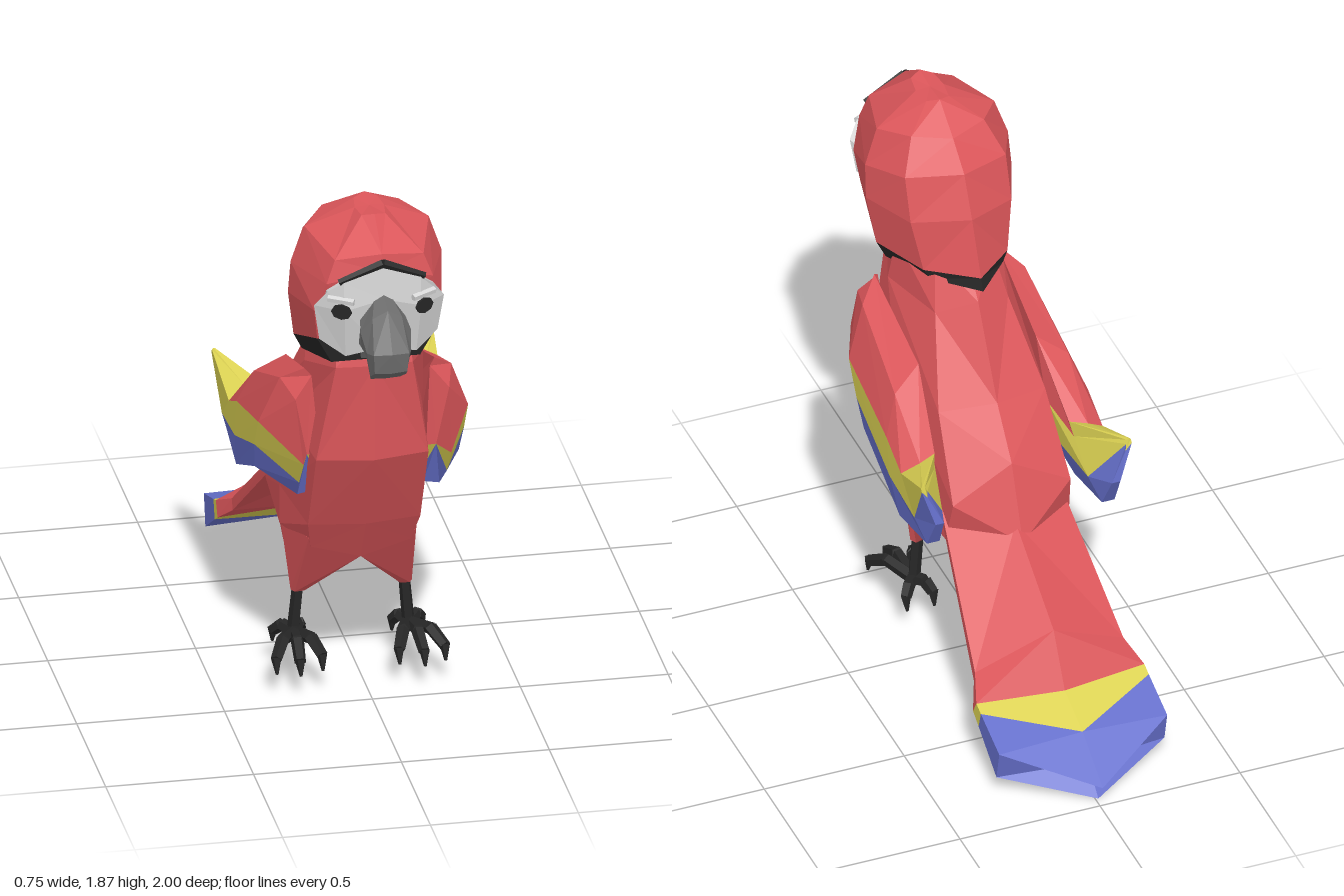
import * as THREE from 'three';

const mat = (name, color, extra = {}) => {
  const m = new THREE.MeshStandardMaterial({ color, flatShading: true, ...extra });
  m.name = name;
  return m;
};

// Closed skin through rings of equal point count; pick(row, segment) chooses the material index.
function loft(name, rings, mats, pick = () => 0) {
  const buckets = mats.map(() => []);
  const n = rings[0].length, last = rings.length - 1;
  const tri = (k, ...pts) => buckets[k].push(pts);
  const mid = r => [0, 1, 2].map(a => r.reduce((s, p) => s + p[a], 0) / n);
  for (let i = 0; i < last; i++) {
    for (let j = 0; j < n; j++) {
      const q = (j + 1) % n, k = pick(i, j);
      const a = rings[i][j], b = rings[i][q], c = rings[i + 1][q], d = rings[i + 1][j];
      // mirrored diagonals keep the two halves symmetric
      if (j < n / 2) { tri(k, a, b, c); tri(k, a, c, d); }
      else { tri(k, a, b, d); tri(k, b, c, d); }
    }
  }
  const c0 = mid(rings[0]), c1 = mid(rings[last]);
  for (let j = 0; j < n; j++) {
    const q = (j + 1) % n;
    tri(pick(0, j), rings[0][q], rings[0][j], c0);
    tri(pick(last - 1, j), rings[last][j], rings[last][q], c1);
  }
  // turn every face outward using the enclosed volume
  let volume = 0;
  const v = p => new THREE.Vector3(...p).sub(new THREE.Vector3(...c0));
  buckets.flat().forEach(([a, b, c]) => { volume += v(a).dot(v(b).cross(v(c))); });
  const geo = new THREE.BufferGeometry(), pos = [];
  buckets.forEach((tris, k) => {
    geo.addGroup(pos.length / 3, tris.length * 3, k);
    tris.forEach(([a, b, c]) => pos.push(...a, ...(volume < 0 ? [...c, ...b] : [...b, ...c])));
  });
  geo.setAttribute('position', new THREE.Float32BufferAttribute(pos, 3));
  geo.computeVertexNormals();
  const mesh = new THREE.Mesh(geo, mats);
  mesh.name = name;
  return mesh;
}

// Full ring from its +x half; first and last points lie on the middle plane.
const mirrorRing = half => [...half, ...half.slice(1, -1).reverse().map(([x, y, z]) => [-x, y, z])];
const flip = (ring, s) => ring.map(([x, y, z]) => [s * x, y, z]);

// Tapered rod between two points
function rod(name, a, b, r0, r1, material) {
  const p = new THREE.Vector3(...a), d = new THREE.Vector3(...b).sub(p);
  const mesh = new THREE.Mesh(new THREE.CylinderGeometry(r1, r0, d.length(), 5), material);
  mesh.position.copy(p).addScaledVector(d, 0.5);
  mesh.quaternion.setFromUnitVectors(new THREE.Vector3(0, 1, 0), d.normalize());
  mesh.name = name;
  return mesh;
}

export function createModel() {
  const red = mat('red feathers', 0xdc565a);
  const yellow = mat('yellow feathers', 0xdcd253);
  const blue = mat('blue feathers', 0x6670cc);
  const white = mat('white face', 0xd6d6d6);
  const grey = mat('grey beak', 0x707070);
  const black = mat('black', 0x262626);

  const model = new THREE.Group();
  model.name = 'parrot';
  const part = (name, x) => {
    const g = new THREE.Group();
    g.name = name;
    g.position.x = x;
    model.add(g);
    return g;
  };

  // Body: front, front corner, side, back corner, back
  const body = part('body', -0.02);
  body.add(loft('torso', [
    [[0, 1.42, 0.62], [0.12, 1.42, 0.60], [0.18, 1.42, 0.42], [0.1, 1.42, 0.28], [0, 1.42, 0.24]],
    [[0, 1.30, 0.645], [0.13, 1.30, 0.635], [0.20, 1.25, 0.45], [0.13, 1.25, 0.20], [0, 1.30, 0.14]],
    [[0, 0.95, 0.635], [0.19, 0.95, 0.60], [0.23, 0.98, 0.30], [0.19, 0.98, 0.02], [0, 1.0, -0.03]],
    [[0, 0.65, 0.49], [0.19, 0.65, 0.46], [0.235, 0.68, 0.20], [0.21, 0.72, -0.16], [0, 0.84, -0.16]],
    [[0, 0.49, 0.40], [0.17, 0.54, 0.40], [0.235, 0.54, 0.20], [0.22, 0.56, -0.12], [0, 0.58, -0.26]],
  ].map(mirrorRing), [red]));

  // Thighs, legs and clawed feet
  for (const s of [1, -1]) {
    const side = s > 0 ? 'left' : 'right';
    const ankle = [0, 1, 2, 3, 4].map(i => {
      const a = [-2.5, 0.6, 1.57, 2.6, 4.2][i];
      return [0.18 + 0.025 * Math.sin(i === 0 ? -0.8 : a), 0.31, 0.235 + 0.025 * Math.cos(i === 0 ? -0.8 : a)];
    });
    const hip = [[0, 0.49, 0.40], [0.18, 0.58, 0.42], [0.235, 0.58, 0.20], [0.21, 0.55, -0.04], [0, 0.52, 0.04]];
    body.add(loft(side + 'Thigh', [hip, ankle].map(r => flip(r, s)), [red]));
    const P = (x, y, z) => [s * x, y, z];
    const foot = new THREE.Group();
    foot.name = side + 'Foot';
    foot.add(rod('leg', P(0.178, 0.34, 0.235), P(0.195, 0.155, 0.23), 0.02, 0.022, black));
    for (const [x, z, dir] of [[0.13, 0.40, 1], [0.21, 0.43, 1], [0.285, 0.40, 1], [0.155, 0.16, -1], [0.25, 0.165, -1]]) {
      const knuckle = P(0.195 + (x - 0.195) * 0.6, dir > 0 ? 0.175 : 0.165, 0.23 + (z - 0.23) * 0.6);
      foot.add(rod('toe', P(0.195, 0.155, 0.23), knuckle, 0.024, 0.022, black));
      foot.add(rod('toeEnd', knuckle, P(x, 0.135, z), 0.023, 0.02, black));
      foot.add(rod('claw', P(x, 0.142, z), P(x, 0.088, z + dir * 0.015), 0.019, 0.005, black));
    }
    body.add(foot);
  }

  // Tail: ridge, upper edge, lower edge, underside
  const tail = part('tail', -0.01);
  tail.add(loft('tailFan', [
    [[0, 0.64, -0.22], [0.21, 0.66, -0.08], [0.21, 0.61, -0.09], [0, 0.55, -0.14]],
    [[0, 0.43, -0.56], [0.265, 0.30, -0.52], [0.265, 0.26, -0.51], [0, 0.36, -0.50]],
    [[0, 0.25, -0.66], [0.30, 0.25, -0.62], [0.30, 0.20, -0.59], [0, 0.21, -0.62]],
    [[0, 0.19, -0.82], [0.30, 0.235, -0.66], [0.30, 0.17, -0.64], [0, 0.11, -0.76]],
    [[0, 0.08, -1.0], [0.30, 0.18, -0.825], [0.30, 0.07, -0.80], [0, 0.01, -0.96]],
  ].map(mirrorRing), [red, yellow, blue], i => Math.max(0, i - 1)));

  // Wings: top, shoulder, band edges outside, then band edges inside
  const wings = part('wings', -0.008);
  const wingColumns = [
    [[0.20, 1.22, 0.51], [0.26, 1.15, 0.54], [0.25, 0.95, 0.625], [0.25, 0.85, 0.55], [0.24, 0.77, 0.47], [0.19, 0.77, 0.45], [0.18, 0.85, 0.5], [0.18, 0.95, 0.55]],
    [[0.22, 1.24, 0.49], [0.29, 1.18, 0.42], [0.355, 1.005, 0.38], [0.355, 0.89, 0.31], [0.345, 0.79, 0.27], [0.23, 0.78, 0.27], [0.20, 0.89, 0.31], [0.20, 1.0, 0.38]],
    [[0.21, 1.12, 0.12], [0.31, 1.05, 0.08], [0.36, 0.92, 0.03], [0.36, 0.78, 0], [0.345, 0.65, -0.05], [0.28, 0.65, -0.05], [0.23, 0.78, 0], [0.21, 0.92, 0.03]],
    [[0.24, 0.91, -0.10], [0.30, 0.90, -0.12], [0.36, 0.86, -0.10], [0.36, 0.76, -0.22], [0.335, 0.68, -0.27], [0.29, 0.68, -0.27], [0.26, 0.76, -0.22], [0.25, 0.86, -0.12]],
    [[0.365, 0.955, -0.315], [0.37, 0.955, -0.315], [0.375, 0.95, -0.315], [0.375, 0.94, -0.325], [0.33, 0.80, -0.335], [0.30, 0.80, -0.335], [0.355, 0.94, -0.325], [0.36, 0.95, -0.315]],
  ];
  const wingColour = (i, j) => {
    const k = [0, 0, 1, 2, 2, 2, 1, 0][j];
    return i === 3 && k === 0 ? 1 : k;
  };
  for (const s of [1, -1]) {
    wings.add(loft(s > 0 ? 'leftWing' : 'rightWing', wingColumns.map(r => flip(r, s)), [red, yellow, blue], wingColour));
  }

  // Head with black collar: front, front corner, side, back corner, back
  const head = part('head', -0.03);
  head.add(loft('skull', [
    [[0, 1.37, 0.73], [0.15, 1.36, 0.71], [0.205, 1.31, 0.48], [0.13, 1.34, 0.27], [0, 1.355, 0.12]],
    [[0, 1.45, 0.79], [0.20, 1.455, 0.72], [0.235, 1.37, 0.49], [0.15, 1.375, 0.28], [0, 1.395, 0.14]],
    [[0, 1.57, 0.80], [0.215, 1.57, 0.745], [0.26, 1.54, 0.52], [0.18, 1.55, 0.32], [0, 1.58, 0.22]],
    [[0, 1.73, 0.825], [0.18, 1.68, 0.78], [0.255, 1.66, 0.54], [0.18, 1.70, 0.37], [0, 1.72, 0.29]],
    [[0, 1.79, 0.815], [0.15, 1.76, 0.77], [0.21, 1.79, 0.55], [0.13, 1.81, 0.44], [0, 1.80, 0.39]],
    [[0, 1.88, 0.69], [0.04, 1.87, 0.67], [0.05, 1.868, 0.60], [0.04, 1.87, 0.53], [0, 1.88, 0.51]],
  ].map(mirrorRing), [black, red], i => (i ? 1 : 0)));

  // Face mask, lofted from side to side
  const faceHalf = [
    [[0, 1.75, 0.84], [0, 1.64, 0.85], [0, 1.45, 0.82], [0, 1.45, 0.72], [0, 1.73, 0.72]],
    [[0.13, 1.70, 0.825], [0.13, 1.60, 0.835], [0.12, 1.42, 0.80], [0.12, 1.44, 0.70], [0.13, 1.68, 0.70]],
    [[0.18, 1.66, 0.795], [0.22, 1.60, 0.765], [0.20, 1.47, 0.755], [0.18, 1.48, 0.70], [0.18, 1.64, 0.70]],
  ];
  const faceRings = [...faceHalf.slice(1).reverse().map(r => flip(r, -1)), ...faceHalf];
  head.add(loft('face', faceRings, [white]));
  for (const s of [1, -1]) {
    head.add(rod('brow', [0, 1.765, 0.832], [s * 0.145, 1.70, 0.815], 0.016, 0.012, black));
    const eye = new THREE.Mesh(new THREE.CylinderGeometry(0.036, 0.036, 0.008, 8).rotateX(Math.PI / 2), black);
    eye.name = 'eye';
    eye.scale.y = 0.75;
    eye.position.set(s * 0.14, 1.60, 0.835);
    eye.rotation.y = s * 0.5;
    head.add(eye);
    head.add(rod('eyelid', [s * 0.10, 1.635, 0.845], [s * 0.18, 1.64, 0.805], 0.012, 0.012, white));
  }

  // Hooked beak: ridge, ridge corner, side, lower corner, underside
  head.add(loft('upperBeak', [
    [[0, 1.66, 0.835], [0.03, 1.64, 0.835], [0.075, 1.57, 0.82], [0.08, 1.47, 0.79], [0, 1.46, 0.78]],
    [[0, 1.63, 0.92], [0.05, 1.60, 0.91], [0.085, 1.54, 0.88], [0.075, 1.47, 0.85], [0, 1.46, 0.84]],
    [[0, 1.505, 1.0], [0.06, 1.50, 0.985], [0.075, 1.49, 0.94], [0.065, 1.45, 0.88], [0, 1.44, 0.88]],
    [[0, 1.43, 0.985], [0.055, 1.43, 0.975], [0.06, 1.40, 0.93], [0.05, 1.365, 0.875], [0, 1.36, 0.87]],
  ].map(mirrorRing), [grey]));
  head.add(loft('lowerBeak', [
    [[0, 1.48, 0.78], [0.07, 1.48, 0.77], [0.06, 1.39, 0.76], [0, 1.38, 0.76]],
    [[0, 1.47, 0.85], [0.05, 1.46, 0.84], [0.045, 1.42, 0.83], [0, 1.41, 0.83]],
  ].map(mirrorRing), [grey]));

  return model;
}
